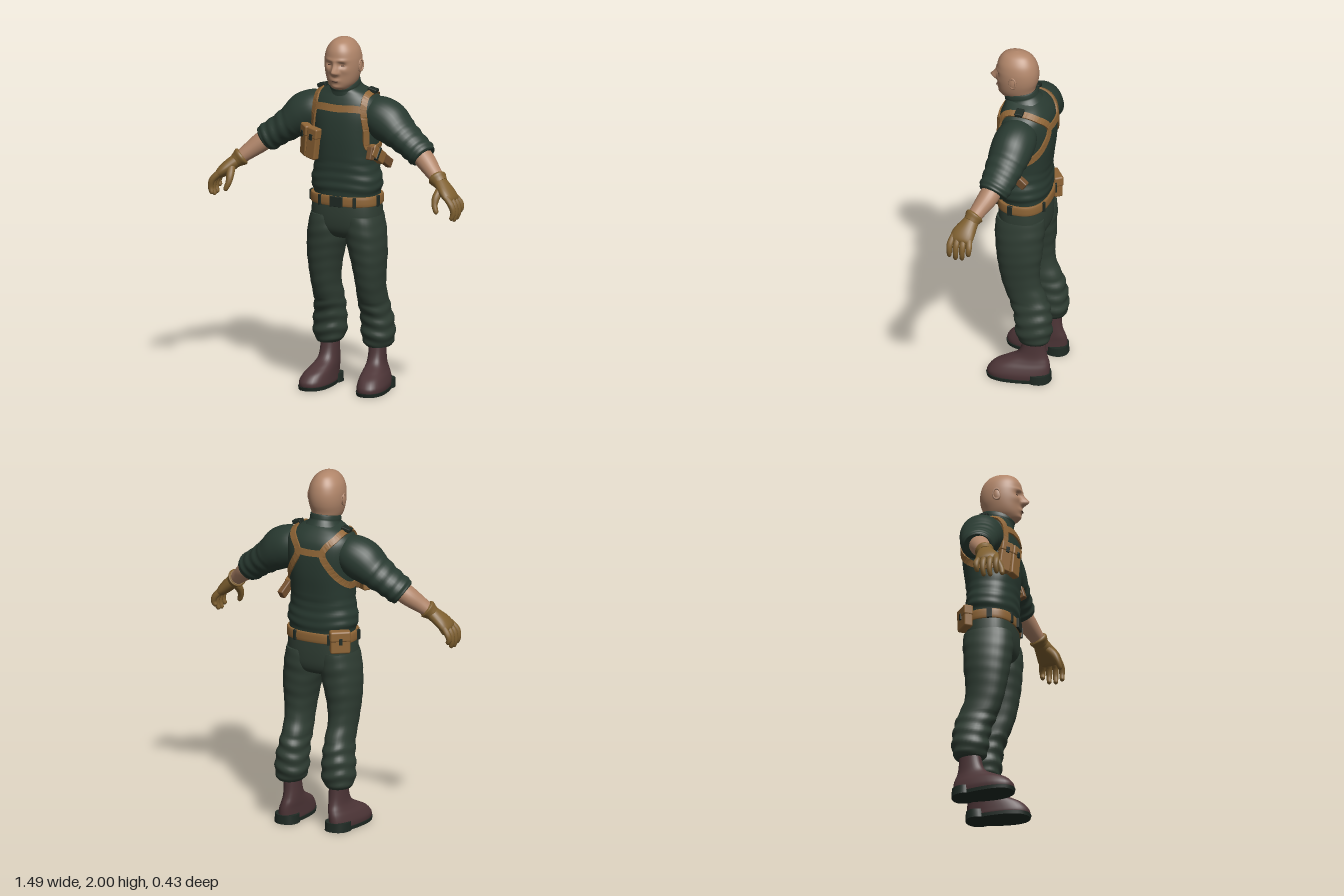
import * as THREE from 'three';
import { RoundedBoxGeometry } from 'three/addons/geometries/RoundedBoxGeometry.js';

const V = (x, y, z) => new THREE.Vector3(x, y, z);
const flat = (name, color, side = THREE.FrontSide) => {
  const m = new THREE.MeshStandardMaterial({ color, side });
  m.name = name;
  return m;
};

// Smoothly resample rows of numbers
function resample(rows, n) {
  const curves = rows[0].map((_, k) => new THREE.SplineCurve(rows.map((r, i) => new THREE.Vector2(i, r[k]))));
  return Array.from({ length: n + 1 }, (_, i) => curves.map((c) => c.getPoint(i / n).y));
}

// Skin a list of rings (arrays of points) and cap both ends
function skin(rings) {
  const pos = [], idx = [], n = rings[0].length;
  rings.forEach((r) => r.forEach((p) => pos.push(p.x, p.y, p.z)));
  for (let i = 0; i < rings.length - 1; i++) for (let j = 0; j < n; j++) {
    const a = i * n + j, b = i * n + (j + 1) % n;
    idx.push(a, b, a + n, b, b + n, a + n);
  }
  [rings[0], rings[rings.length - 1]].forEach((r, end) => {
    const c = r.reduce((s, p) => s.add(p), V(0, 0, 0)).divideScalar(n), o = pos.length / 3;
    [...r, c].forEach((p) => pos.push(p.x, p.y, p.z));
    for (let j = 0; j < n; j++) {
      const k = (j + 1) % n;
      if (end) idx.push(o + j, o + k, o + n); else idx.push(o + k, o + j, o + n);
    }
  });
  const g = new THREE.BufferGeometry();
  g.setAttribute('position', new THREE.Float32BufferAttribute(pos, 3));
  g.setIndex(idx);
  g.computeVertexNormals();
  return g;
}

// Horizontal rings from rows [y, centre x, half width, front z, back z], top first
function stack(rows, n = 40, seg = 40, pow = 2.3, fold = () => 1, move = (p) => p) {
  const e = (v) => Math.sign(v) * Math.abs(v) ** (2 / pow);
  return skin(resample(rows, n).map(([y, cx, rx, zf, zb]) => Array.from({ length: seg }, (_, j) => {
    const t = j / seg * Math.PI * 2, f = fold(y, t);
    return move(V(cx + rx * f * e(Math.cos(t)), y, (zf + zb) / 2 + (zf - zb) / 2 * f * e(Math.sin(t))), cx);
  })));
}

// Rings square to a path, rows [x, y, z, radius across, radius in z]
function limb(rows, n = 24, seg = 24, fold = () => 1) {
  const s = resample(rows, n), at = (i) => V(...s[Math.min(n, Math.max(0, i))].slice(0, 3));
  return skin(s.map((r, i) => {
    const t = at(i + 1).sub(at(i - 1)).normalize();
    const v = V(0, 0, 1).addScaledVector(t, -t.z).normalize(), u = v.clone().cross(t);
    return Array.from({ length: seg }, (_, j) => {
      const a = j / seg * Math.PI * 2, f = fold(i / n, a);
      return at(i).addScaledVector(u, r[3] * f * Math.cos(a)).addScaledVector(v, r[4] * f * Math.sin(a));
    });
  }));
}

function mirrored(geo) {
  const g = geo.clone().scale(-1, 1, 1), ix = g.index.array;
  for (let i = 0; i < ix.length; i += 3) [ix[i], ix[i + 1]] = [ix[i + 1], ix[i]];
  g.computeVertexNormals();
  return g;
}

const ray = new THREE.Raycaster();
function hitSurface(mesh, from, to) {
  ray.set(from, to.clone().sub(from).normalize());
  return ray.intersectObject(mesh)[0];
}

export function createModel() {
  const model = new THREE.Group();
  const skinTone = flat('skin', 0xb08569), sweater = flat('sweaterGreen', 0x293a31), cloth = flat('trouserGreen', 0x2f3d33);
  const webbing = flat('webbingTan', 0x8f6536), leather = flat('gloveTan', 0x7f6030), boot = flat('bootBrown', 0x4d3537);
  const dark = flat('darkFittings', 0x1f2a24), holsterMat = flat('holsterBrown', 0x74502f), line = flat('faceLines', 0x4e372c);
  const add = (name, geo, mat) => {
    const m = new THREE.Mesh(geo, mat);
    m.name = name;
    model.add(m);
    return m;
  };
  const pair = (name, geo, mat) => [add(name + 'Left', geo, mat), add(name + 'Right', mirrored(geo), mat)];
  const box = (name, w, h, d, p, mat, rot = [0, 0, 0]) => {
    const m = add(name, new RoundedBoxGeometry(w, h, d, 2, Math.min(w, h, d) * 0.2), mat);
    m.position.set(...p);
    m.rotation.set(...rot, 'YXZ');
    return m;
  };

  // Head with sculpted face: bumps are [x, y, depth, width, height]
  const bumps = [[0, 1.823, 0.036, 0.016, 0.02], [0, 1.85, 0.016, 0.013, 0.028], [0, 1.774, 0.009, 0.028, 0.013],
    [0, 1.735, 0.008, 0.03, 0.014]];
  for (const s of [-1, 1]) bumps.push([s * 0.037, 1.862, -0.015, 0.02, 0.015], [s * 0.035, 1.888, 0.006, 0.03, 0.009],
    [s * 0.017, 1.817, 0.013, 0.009, 0.01], [s * 0.055, 1.83, 0.005, 0.022, 0.02]);
  const head = add('head', stack([[2, 0, 0.004, 0.05, 0.04], [1.993, 0, 0.032, 0.085, 0], [1.975, 0, 0.06, 0.122, -0.035],
    [1.94, 0, 0.085, 0.146, -0.062], [1.9, 0, 0.097, 0.155, -0.076], [1.86, 0, 0.1, 0.156, -0.08], [1.82, 0, 0.097, 0.153, -0.075],
    [1.78, 0, 0.088, 0.15, -0.062], [1.75, 0, 0.076, 0.146, -0.056], [1.725, 0, 0.06, 0.132, -0.053],
    [1.705, 0, 0.055, 0.095, -0.053], [1.67, 0, 0.06, 0.08, -0.06]], 80, 80, 2.1, () => 1, (p) => {
    if (p.z > 0.05) for (const [x, y, d, w, h] of bumps) p.z += d * Math.exp(-(((p.x - x) / w) ** 2) - ((p.y - y) / h) ** 2);
    return p;
  }), skinTone);
  for (const [name, x, y, w] of [['leftEye', 0.037, 1.858, 0.014], ['rightEye', -0.037, 1.858, 0.014], ['mouth', 0, 1.77, 0.02]]) {
    const m = add(name, new THREE.SphereGeometry(1, 12, 8).scale(w, 0.0028, 0.004), line);
    m.position.copy(hitSurface(head, V(x, y, 1), V(x, y, 0)).point);
  }
  pair('ear', new THREE.SphereGeometry(1, 16, 12).scale(0.011, 0.034, 0.021).rotateX(-0.15).translate(0.098, 1.845, 0.037), skinTone);
  pair('earRim', new THREE.TorusGeometry(0.022, 0.005, 8, 20).rotateY(Math.PI / 2).scale(1, 1.4, 0.9).rotateY(-0.2).translate(0.104, 1.848, 0.036), skinTone);

  // Sweater: collar, torso and rolled sleeves
  add('collar', stack([[1.75, 0, 0.066, 0.095, -0.06], [1.756, 0, 0.078, 0.108, -0.07], [1.735, 0, 0.083, 0.112, -0.076],
    [1.72, 0, 0.084, 0.108, -0.08], [1.69, 0, 0.105, 0.105, -0.1]], 16, 40, 2.1, () => 1, (p) => p.setY(p.y - (p.z - 0.02) * 0.22)), sweater);
  const torso = add('torso', stack([[1.725, 0, 0.07, 0.085, -0.07], [1.71, 0, 0.1, 0.095, -0.095], [1.69, 0, 0.14, 0.1, -0.118],
    [1.66, 0, 0.178, 0.112, -0.143], [1.62, 0, 0.196, 0.125, -0.162], [1.55, 0, 0.197, 0.138, -0.172], [1.45, 0, 0.185, 0.142, -0.17],
    [1.35, 0, 0.179, 0.137, -0.157], [1.27, 0, 0.182, 0.131, -0.148], [1.21, 0, 0.196, 0.13, -0.15], [1.17, 0, 0.2, 0.13, -0.152],
    [1.13, 0, 0.19, 0.124, -0.147], [1.08, 0, 0.18, 0.115, -0.14]], 60, 56, 2.4,
  (y, t) => 1 + (y < 1.32 ? 0.012 * Math.sin(y * 110 + Math.sin(t * 3)) : 0)), sweater);
  const sleeves = pair('sleeve', limb([[0.1, 1.59, -0.02, 0.07, 0.08], [0.18, 1.565, -0.018, 0.108, 0.112], [0.25, 1.53, -0.012, 0.118, 0.118],
    [0.31, 1.487, -0.004, 0.1, 0.112], [0.37, 1.445, 0.005, 0.086, 0.102], [0.425, 1.407, 0.014, 0.08, 0.094],
    [0.465, 1.378, 0.022, 0.079, 0.088], [0.482, 1.365, 0.026, 0.066, 0.074]], 48, 32,
  (t, a) => 1 + (t > 0.45 ? 0.03 * Math.sin(t * 48 + Math.sin(a * 2)) : 0)), sweater);

  // Forearms and gloves
  pair('forearm', limb([[0.43, 1.405, 0.018, 0.056, 0.056], [0.5, 1.348, 0.045, 0.054, 0.056], [0.56, 1.298, 0.077, 0.044, 0.046],
    [0.62, 1.248, 0.108, 0.034, 0.036]]), skinTone);
  pair('gloveCuff', limb([[0.585, 1.278, 0.09, 0.044, 0.046], [0.592, 1.272, 0.094, 0.052, 0.053], [0.607, 1.259, 0.101, 0.045, 0.046],
    [0.62, 1.248, 0.107, 0.039, 0.042]]), leather);
  pair('palm', limb([[0.605, 1.26, 0.1, 0.036, 0.04], [0.64, 1.23, 0.115, 0.037, 0.053], [0.675, 1.198, 0.13, 0.034, 0.065],
    [0.7, 1.172, 0.138, 0.026, 0.064], [0.708, 1.16, 0.14, 0.012, 0.05]]), leather);
  [[0.083, 0.62], [0.12, 0.95], [0.157, 1], [0.193, 0.85]].forEach(([z, l], i) => pair('finger' + (i + 1), limb([
    [0.685, 1.19, 0.135 + (z - 0.135) * 0.8, 0.018, 0.018], [0.722, 1.15, z, 0.018, 0.018], [0.732, 1.15 - 0.05 * l, z, 0.015, 0.015],
    [0.722, 1.15 - 0.086 * l, z + 0.003, 0.012, 0.012], [0.718, 1.15 - 0.094 * l, z + 0.003, 0.003, 0.003]], 14, 12), leather));
  pair('thumb', limb([[0.632, 1.225, 0.135, 0.024, 0.024], [0.622, 1.185, 0.175, 0.022, 0.022], [0.622, 1.145, 0.196, 0.017, 0.017],
    [0.636, 1.108, 0.206, 0.013, 0.013], [0.641, 1.099, 0.207, 0.003, 0.003]], 16, 14), leather);

  // Trousers, bunched above the boots
  add('hips', stack([[1.11, 0, 0.188, 0.12, -0.143], [1.05, 0, 0.196, 0.127, -0.148], [0.98, 0, 0.2, 0.128, -0.15],
    [0.92, 0, 0.198, 0.118, -0.145], [0.88, 0, 0.15, 0.09, -0.125], [0.86, 0, 0.07, 0.04, -0.08]], 24, 48, 2.5), cloth);
  pair('trouserLeg', stack([[1, 0.105, 0.095, 0.122, -0.145], [0.93, 0.11, 0.105, 0.13, -0.15], [0.86, 0.116, 0.107, 0.125, -0.143],
    [0.78, 0.127, 0.098, 0.116, -0.14], [0.7, 0.133, 0.087, 0.103, -0.13], [0.6, 0.135, 0.076, 0.082, -0.133],
    [0.52, 0.133, 0.076, 0.055, -0.165], [0.45, 0.137, 0.08, 0.026, -0.19], [0.38, 0.143, 0.088, 0.006, -0.2],
    [0.31, 0.145, 0.09, 0, -0.203], [0.265, 0.147, 0.082, -0.01, -0.196], [0.24, 0.15, 0.062, -0.025, -0.178]], 72, 32, 2.2,
  (y, t) => 1 + (y < 0.5 ? 0.04 : 0.008) * Math.sin(y * 85 + 1.2 * Math.sin(t * 2))), cloth);

  // Boots with separate sole and heel; toes are wider than heels
  const splay = (p, cx) => p.setX(cx + (p.x - cx) * (1 + p.z * 1.1) + p.z * 0.06);
  const bootPart = (name, rows, mat, n = 12) => pair(name, stack(rows, n, 36, 2.3, () => 1, splay), mat);
  bootPart('boot', [[0.29, 0.15, 0.05, -0.045, -0.165], [0.2, 0.149, 0.052, -0.032, -0.167], [0.15, 0.15, 0.055, -0.004, -0.175],
    [0.115, 0.155, 0.062, 0.06, -0.188], [0.085, 0.162, 0.07, 0.118, -0.194], [0.05, 0.167, 0.076, 0.15, -0.194],
    [0.025, 0.167, 0.076, 0.155, -0.19], [0.012, 0.167, 0.072, 0.148, -0.186]], boot, 40);
  bootPart('sole', [[0.02, 0.167, 0.079, 0.16, -0.19], [0, 0.167, 0.077, 0.155, -0.188]], dark, 2);
  bootPart('heel', [[0.05, 0.166, 0.081, -0.08, -0.2], [0, 0.166, 0.083, -0.075, -0.203]], dark, 2);

  // Harness straps laid onto the sweater
  function strap(name, points, closed, width = 0.036, n = 40) {
    const curve = new THREE.CatmullRomCurve3(points.map((p) => V(...p)), closed);
    const rings = curve.getSpacedPoints(n).map((p, i) => {
      const c = V(p.x * 0.5, Math.min(p.y, 1.5), -0.015), from = c.clone().addScaledVector(p.clone().sub(c).normalize(), 1);
      const hits = [torso, ...(p.y > 1.58 ? sleeves : [])].map((m) => hitSurface(m, from, c)).filter(Boolean);
      const hit = hits.sort((a, b) => a.distance - b.distance)[0];
      const nrm = hit.face.normal, t = curve.getTangentAt(i / n), s = nrm.clone().cross(t).normalize();
      return [[-1, -0.006], [1, -0.006], [1, 0.009], [-1, 0.009]].map(([a, b]) =>
        hit.point.clone().addScaledVector(s, a * width / 2).addScaledVector(nrm, b));
    });
    const g = skin(rings).toNonIndexed();
    g.computeVertexNormals();
    return add(name, g, webbing);
  }
  for (const s of [1, -1]) strap(s > 0 ? 'leftShoulderStrap' : 'rightShoulderStrap', [[0.168, 1.4, 0.09], [0.163, 1.5, 0.1], [0.148, 1.61, 0.1],
    [0.143, 1.67, 0.06], [0.148, 1.69, -0.02], [0.13, 1.66, -0.11], [0.075, 1.585, -0.165], [0.12, 1.49, -0.15], [0.165, 1.42, -0.1],
    [0.18, 1.385, -0.03], [0.178, 1.385, 0.04]].map(([x, y, z]) => [s * x, y, z]), true, 0.036, 72);
  strap('chestStrap', [[-0.14, 1.61, 0.1], [0, 1.61, 0.125], [0.14, 1.61, 0.1]], false, 0.04, 24);
  strap('backStrap', [[-0.08, 1.585, -0.165], [0, 1.582, -0.17], [0.08, 1.585, -0.165]], false, 0.036, 16);
  for (const s of [-1, 1]) box('shoulderClip', 0.052, 0.022, 0.045, [s * 0.152, 1.7, -0.02], dark, [0, 0, -s * 0.25]);

  // Belt with buckle and keepers
  const ring = (y, g) => [y, 0, 0.196 + g, 0.128 + g, -0.149 - g];
  add('belt', stack([ring(1.114, -0.004), ring(1.111, 0.006), ring(1.064, 0.006), ring(1.061, -0.004)], 9, 56, 2.5), webbing);
  box('buckle', 0.076, 0.058, 0.014, [0, 1.087, 0.137], dark);
  for (const x of [-0.105, 0.105]) {
    box('frontKeeper', 0.018, 0.058, 0.014, [x, 1.087, 0.124], dark, [0, Math.sign(x) * 0.35, 0]);
    box('backKeeper', 0.018, 0.058, 0.014, [x, 1.087, -0.146], dark, [0, -Math.sign(x) * 0.35, 0]);
    box('sideKeeper', 0.014, 0.058, 0.03, [Math.sign(x) * 0.2, 1.087, 0.02], dark);
  }

  // Two chest pouches with flaps and clips
  [[-0.195, 1.412, 0.105, -0.75], [-0.135, 1.405, 0.143, -0.35]].forEach(([x, y, z, yaw]) => {
    const g = new THREE.Group(), parts = [box('chestPouch', 0.07, 0.175, 0.042, [0, 0, 0], webbing),
      box('chestPouchFlap', 0.074, 0.06, 0.048, [0, 0.062, 0.001], webbing), box('chestPouchClip', 0.02, 0.034, 0.008, [0, 0.04, 0.027], dark)];
    g.name = 'chestPouchSet';
    g.add(...parts);
    g.position.set(x, y, z);
    g.rotation.set(0, yaw, -0.14, 'YXZ');
    model.add(g);
  });

  // Holster under the left arm, pointing down and back
  const holster = new THREE.Group();
  holster.name = 'holster';
  holster.add(box('holsterBody', 0.042, 0.07, 0.13, [0, 0, 0.03], webbing), box('holsterMuzzle', 0.036, 0.052, 0.1, [0, 0.006, -0.07], holsterMat),
    box('holsterGrip', 0.034, 0.075, 0.04, [0, -0.02, 0.085], holsterMat, [0.3, 0, 0]), box('holsterBand', 0.048, 0.076, 0.02, [0, 0, 0.04], dark));
  holster.position.set(0.207, 1.34, 0.02);
  holster.rotation.set(-0.6, -0.18, 0, 'YXZ');
  model.add(holster);

  // Belt pouch at the right rear
  const pouch = new THREE.Group();
  pouch.name = 'beltPouch';
  pouch.add(box('pouchBody', 0.11, 0.125, 0.05, [0, 0, 0], webbing), box('pouchFlap', 0.116, 0.06, 0.056, [0, 0.035, 0.001], webbing),
    box('pouchClip', 0.02, 0.035, 0.008, [0, 0.008, 0.03], dark));
  pouch.position.set(-0.165, 1.08, -0.125);
  pouch.rotation.y = Math.atan2(-0.6, -0.8);
  model.add(pouch);

  return model;
}
